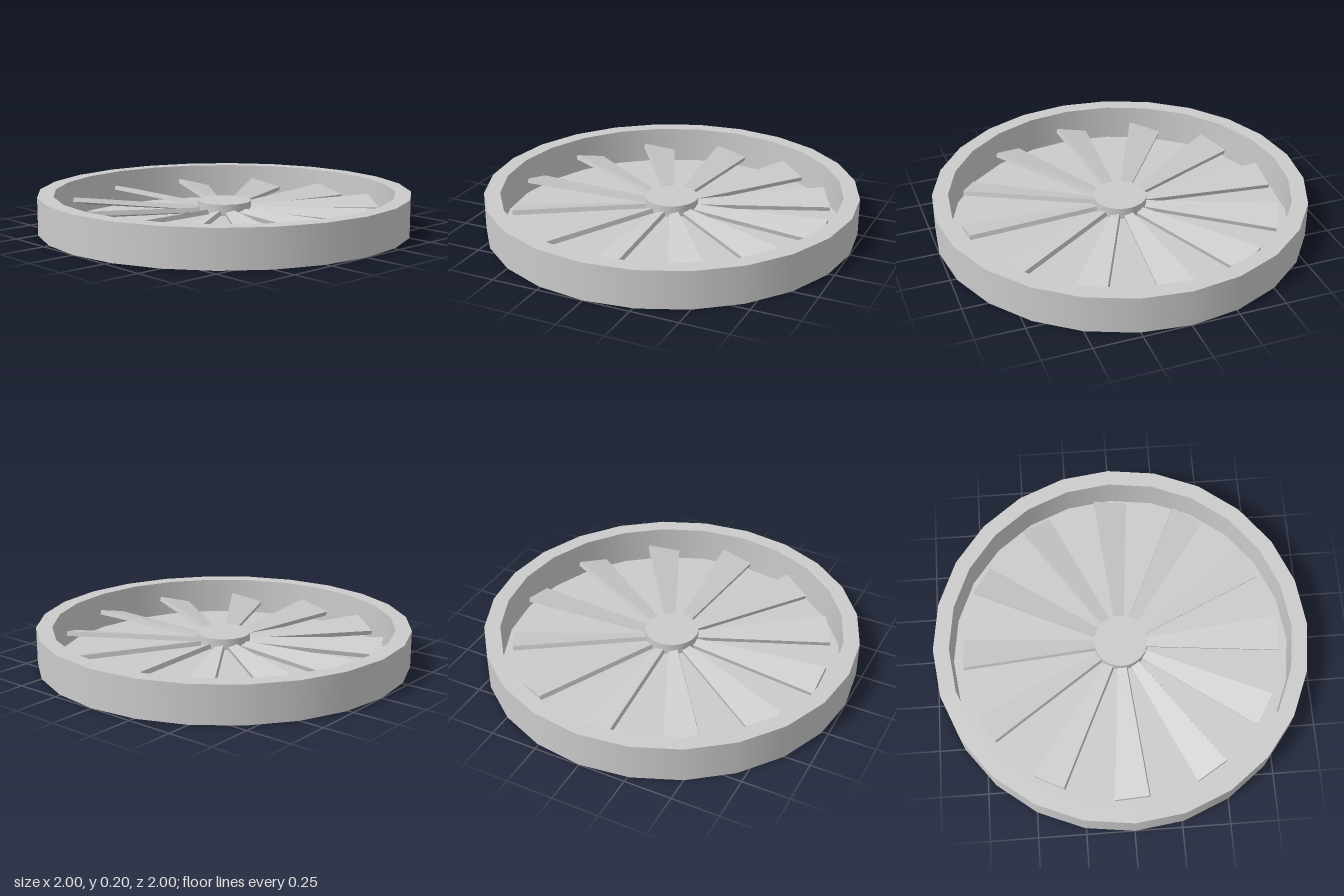
import * as THREE from 'three';

const SIDES = 24;
const HEIGHT = 0.2;
const OUTER = 1;
const INNER = 0.915;
const BLADES = 12;

export function createModel() {
  const model = new THREE.Group();
  model.name = 'fan';
  const solid = new THREE.MeshStandardMaterial({ color: 0xcccccc });
  const open = new THREE.MeshStandardMaterial({ color: 0xcccccc, side: THREE.DoubleSide });

  const add = (name, geometry, material, parent = model) => {
    const mesh = new THREE.Mesh(geometry, material);
    mesh.name = name;
    parent.add(mesh);
    return mesh;
  };

  // Housing: two walls joined by a flat rim, open underneath
  const housing = new THREE.Group();
  housing.name = 'housing';
  model.add(housing);
  for (const [name, r] of [['outerWall', OUTER], ['innerWall', INNER]]) {
    const wall = new THREE.CylinderGeometry(r, r, HEIGHT, SIDES, 1, true);
    add(name, wall, open, housing).position.y = HEIGHT / 2;
  }
  const rim = new THREE.RingGeometry(INNER, OUTER, SIDES).rotateX(-Math.PI / 2);
  add('rim', rim, open, housing).position.y = HEIGHT;

  // Ten-sided floor plate
  add('floor', new THREE.CircleGeometry(0.99, 10, 0.085).rotateX(-Math.PI / 2), open);

  // Hub
  add('hub', new THREE.CylinderGeometry(0.143, 0.143, 0.06, SIDES), solid).position.y = 0.117;

  // Tapered blades, each pitched about its own length
  const thickness = 0.025;
  const outline = new THREE.Shape([
    new THREE.Vector2(0.1, -0.021),
    new THREE.Vector2(0.85, -0.092),
    new THREE.Vector2(0.85, 0.092),
    new THREE.Vector2(0.1, 0.021),
  ]);
  const bladeGeometry = new THREE.ExtrudeGeometry(outline, { depth: thickness, bevelEnabled: false })
    .translate(0, 0, -thickness / 2)
    .rotateX(-Math.PI / 2)
    .rotateX(0.25);
  const blades = new THREE.Group();
  blades.name = 'blades';
  blades.position.y = 0.097;
  model.add(blades);
  for (let i = 0; i < BLADES; i++) {
    add('blade', bladeGeometry, solid, blades).rotation.y = (i / BLADES) * Math.PI * 2;
  }

  return model;
}
